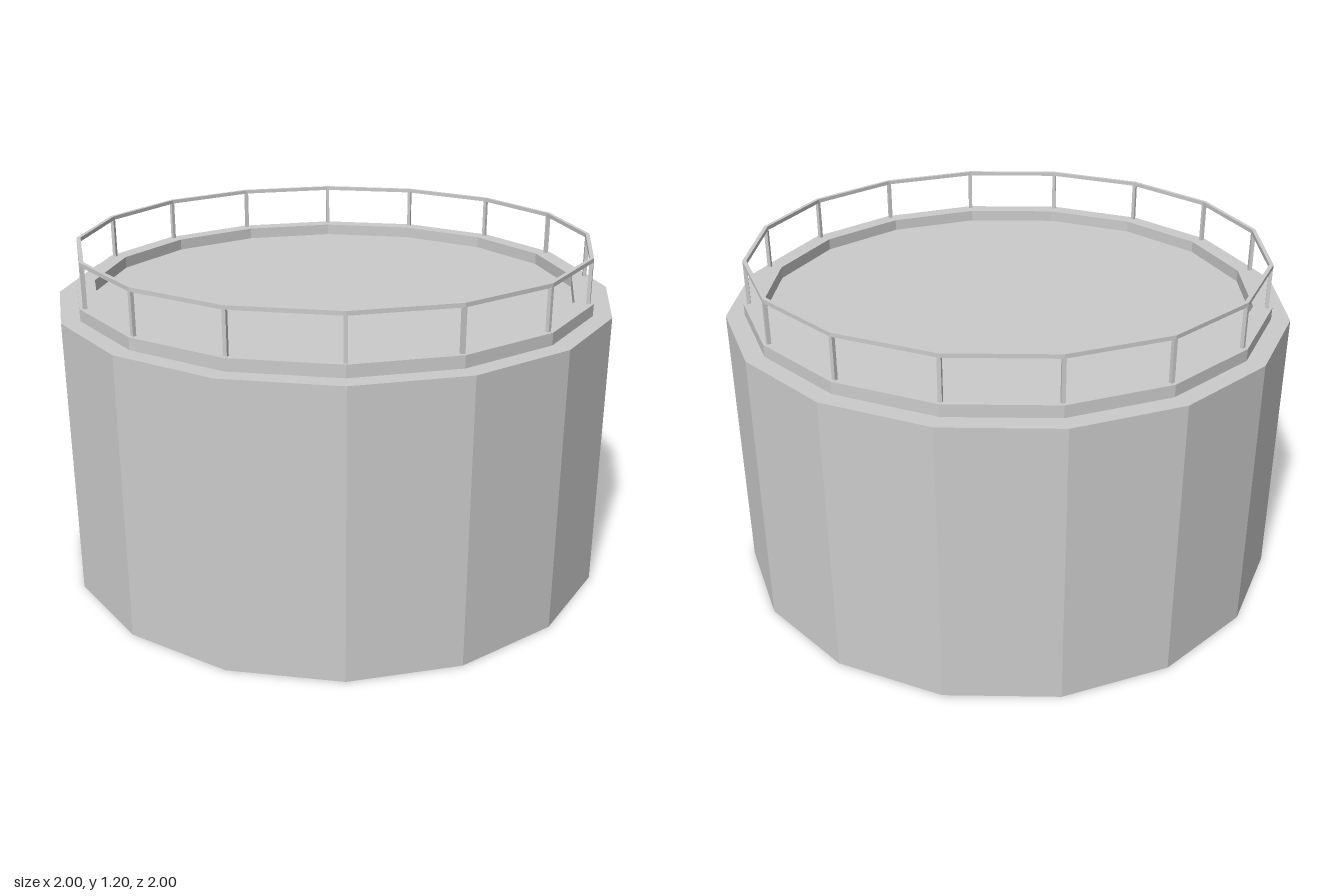
import * as THREE from 'three';

const SIDES = 16;
const material = new THREE.MeshStandardMaterial({ color: 0xcccccc, flatShading: true });

function add(parent, name, geometry) {
  const mesh = new THREE.Mesh(geometry, material);
  mesh.name = name;
  parent.add(mesh);
  return mesh;
}

// Faceted ring with a rectangular cross-section
function ring(inner, outer, bottom, top) {
  const profile = [[outer, bottom], [outer, top], [inner, top], [inner, bottom], [outer, bottom]];
  return new THREE.LatheGeometry(profile.map(([r, y]) => new THREE.Vector2(r, y)), SIDES);
}

export function createModel() {
  const tank = new THREE.Group();
  tank.name = 'storageTank';

  // Solid drum with a flat roof
  add(tank, 'tankBody', new THREE.CylinderGeometry(1, 1, 1, SIDES)).position.y = 0.5;

  // Raised curb around the roof
  add(tank, 'roofCurb', ring(0.87, 0.935, 1, 1.042));

  // Guard rail: a post at every corner and a handrail on top
  const guardRail = new THREE.Group();
  guardRail.name = 'guardRail';
  tank.add(guardRail);
  add(guardRail, 'handrail', ring(0.909, 0.923, 1.186, 1.2));

  const postGeometry = new THREE.BoxGeometry(0.013, 0.15, 0.013);
  for (let i = 0; i < SIDES; i++) {
    const angle = (i / SIDES) * Math.PI * 2;
    const post = add(guardRail, 'railPost', postGeometry);
    post.position.set(Math.sin(angle) * 0.916, 1.115, Math.cos(angle) * 0.916);
    post.rotation.y = angle;
  }
  return tank;
}
